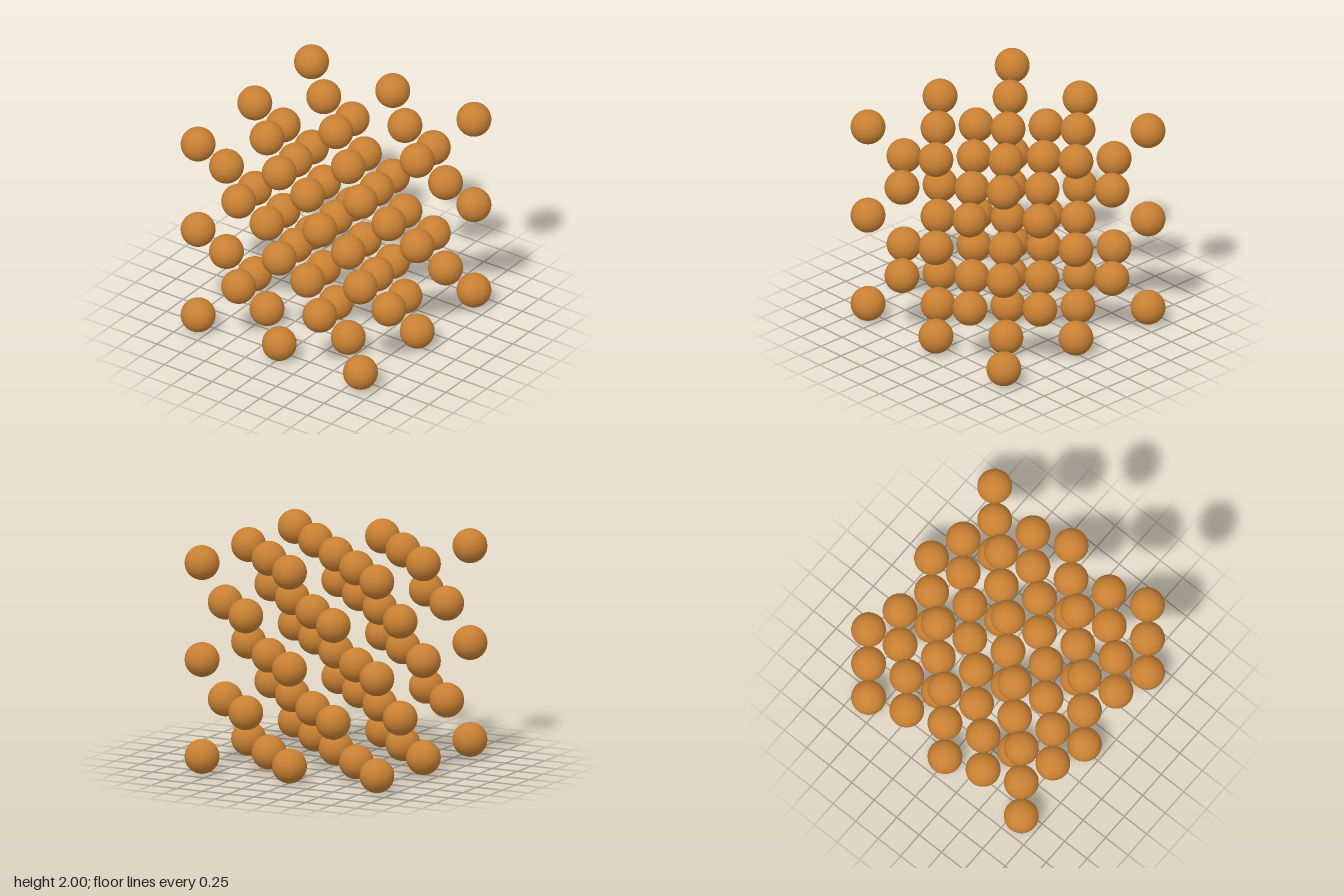
import * as THREE from 'three';

// Face-centred cubic lattice: 2 x 2 x 2 unit cells of separate spheres
export function createModel() {
  const group = new THREE.Group();
  group.name = 'cubicLattice';

  const cell = 0.85; // edge of one unit cell
  const step = cell / 2; // distance between neighbouring layers
  const radius = 0.15;
  const geometry = new THREE.SphereGeometry(radius, 32, 24);
  const material = new THREE.MeshStandardMaterial({ color: 0xc88033 });

  // Cell corners and face centres are the grid points with an even index sum
  for (let i = -2; i <= 2; i++) {
    for (let j = -2; j <= 2; j++) {
      for (let k = -2; k <= 2; k++) {
        if ((i + j + k) % 2 !== 0) continue;
        const atom = new THREE.Mesh(geometry, material);
        atom.name = 'atom';
        atom.position.set(i * step, 1 + j * step, k * step);
        group.add(atom);
      }
    }
  }
  return group;
}
